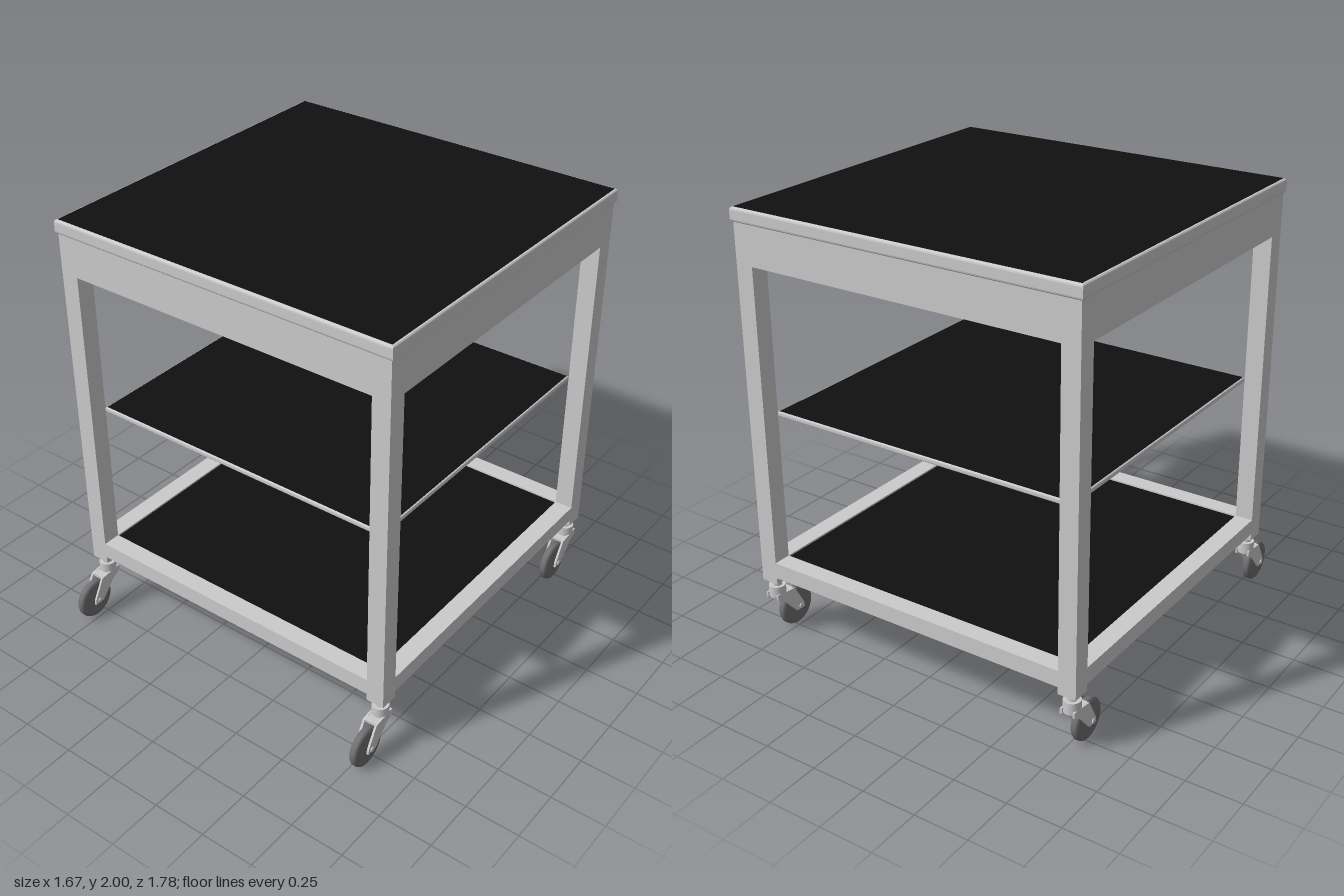
import * as THREE from 'three';

const grey = new THREE.MeshStandardMaterial({ color: 0xcccccc });
const black = new THREE.MeshStandardMaterial({ color: 0x101010 });
const rubber = new THREE.MeshStandardMaterial({ color: 0x707070 });

const CZ = -0.0725;   // middle of the frame in z; the casters trail forward of it
const HX = 0.824;     // outer half width of the frame
const HZ = 0.808;     // outer half depth of the frame
const T = 0.084;      // thickness of posts and rails

function add(parent, name, geometry, material, x = 0, y = 0, z = 0) {
  const mesh = new THREE.Mesh(geometry, material);
  mesh.name = name;
  mesh.position.set(x, y, z);
  parent.add(mesh);
  return mesh;
}

// Box given by its size and its bottom and top heights
function slab(parent, name, w, d, y0, y1, x, z, material = grey) {
  return add(parent, name, new THREE.BoxGeometry(w, y1 - y0, d), material, x, (y0 + y1) / 2, z);
}

// Board with softened grey edges and black faces above and below
function board(parent, name, hx, hz, y0, y1, bevel) {
  const x = hx - bevel, z = hz - bevel;
  const shape = new THREE.Shape([[-x, -z], [x, -z], [x, z], [-x, z]].map(p => new THREE.Vector2(...p)));
  const geo = new THREE.ExtrudeGeometry(shape, {
    depth: y1 - y0 - 2 * bevel - 0.002, bevelSize: bevel, bevelThickness: bevel, bevelSegments: 3,
  });
  geo.rotateX(-Math.PI / 2);
  add(parent, name + 'Edge', geo, grey, 0, y0 + bevel + 0.001, 0);
  slab(parent, name + 'Surface', 2 * x, 2 * z, y0, y1, 0, 0, black);
}

// Four rails between the posts, flush with their outer faces
function railRing(parent, name, y0, y1) {
  for (const s of [-1, 1]) {
    slab(parent, name, 2 * (HX - T), T, y0, y1, 0, s * (HZ - T / 2));
    slab(parent, name, T, 2 * (HZ - T), y0, y1, s * (HX - T / 2), 0);
  }
}

// Swivel caster; origin on the floor below the stem, wheel trailing to +z
function createCaster() {
  const caster = new THREE.Group();
  caster.name = 'caster';
  const wheelY = 0.094, wheelZ = 0.105;
  add(caster, 'casterStem', new THREE.CylinderGeometry(0.022, 0.022, 0.05, 20), grey, 0, 0.265, 0);
  add(caster, 'casterHousing', new THREE.CylinderGeometry(0.038, 0.038, 0.055, 24), grey, 0, 0.2225, 0);

  // Bent fork arms on both sides of the wheel
  const side = new THREE.Shape([
    [-0.036, 0.215], [-0.036, 0.188], [0.008, 0.162], [0.08, 0.08], [0.13, 0.08],
    [0.126, 0.105], [0.074, 0.202], [0.035, 0.207],
  ].map(p => new THREE.Vector2(...p)));
  for (const s of [-1, 1]) {
    const arm = new THREE.ExtrudeGeometry(side, { depth: 0.01, bevelEnabled: false });
    arm.rotateY(-Math.PI / 2);
    add(caster, 'casterFork', arm, grey, s * 0.03 + 0.005, 0, 0);
  }
  // Crown joining the arms above the wheel
  slab(caster, 'forkCrown', 0.05, 0.075, 0.192, 0.204, 0, 0.036);

  // Wheel with a slightly tapered, rounded tread
  const profile = [
    [0.001, -0.021], [0.06, -0.021], [0.08, -0.019], [0.09, -0.015], [0.094, -0.008],
    [0.094, 0.008], [0.09, 0.015], [0.08, 0.019], [0.06, 0.021], [0.001, 0.021],
  ].map(p => new THREE.Vector2(...p));
  const wheel = new THREE.LatheGeometry(profile, 36);
  wheel.rotateZ(Math.PI / 2);
  add(caster, 'casterWheel', wheel, rubber, 0, wheelY, wheelZ);

  const axle = new THREE.CylinderGeometry(0.011, 0.011, 0.08, 14);
  axle.rotateZ(Math.PI / 2);
  add(caster, 'casterAxle', axle, grey, 0, wheelY, wheelZ);
  return caster;
}

export function createModel() {
  const model = new THREE.Group();
  model.name = 'trolley';
  const frame = new THREE.Group();
  frame.name = 'frame';
  frame.position.z = CZ;
  model.add(frame);

  // Corner posts, each on a caster
  for (const sx of [-1, 1]) {
    for (const sz of [-1, 1]) {
      const x = sx * (HX - T / 2), z = sz * (HZ - T / 2);
      slab(frame, 'post', T, T, 0.28, 1.937, x, z);
      const caster = createCaster();
      caster.position.set(x, 0, z);
      frame.add(caster);
    }
  }

  // Apron under the top and rails around the lower shelf
  railRing(frame, 'apron', 1.76, 1.937);
  railRing(frame, 'lowerRail', 0.312, 0.388);

  // Table top and the two shelves
  board(frame, 'tableTop', 0.833, 0.817, 1.935, 2.0, 0.012);
  board(frame, 'middleShelf', HX - T, HZ - T, 1.066, 1.092, 0.007);
  slab(frame, 'lowerShelf', 2 * (HX - T), 2 * (HZ - T), 0.335, 0.38, 0, 0, black);

  return model;
}
